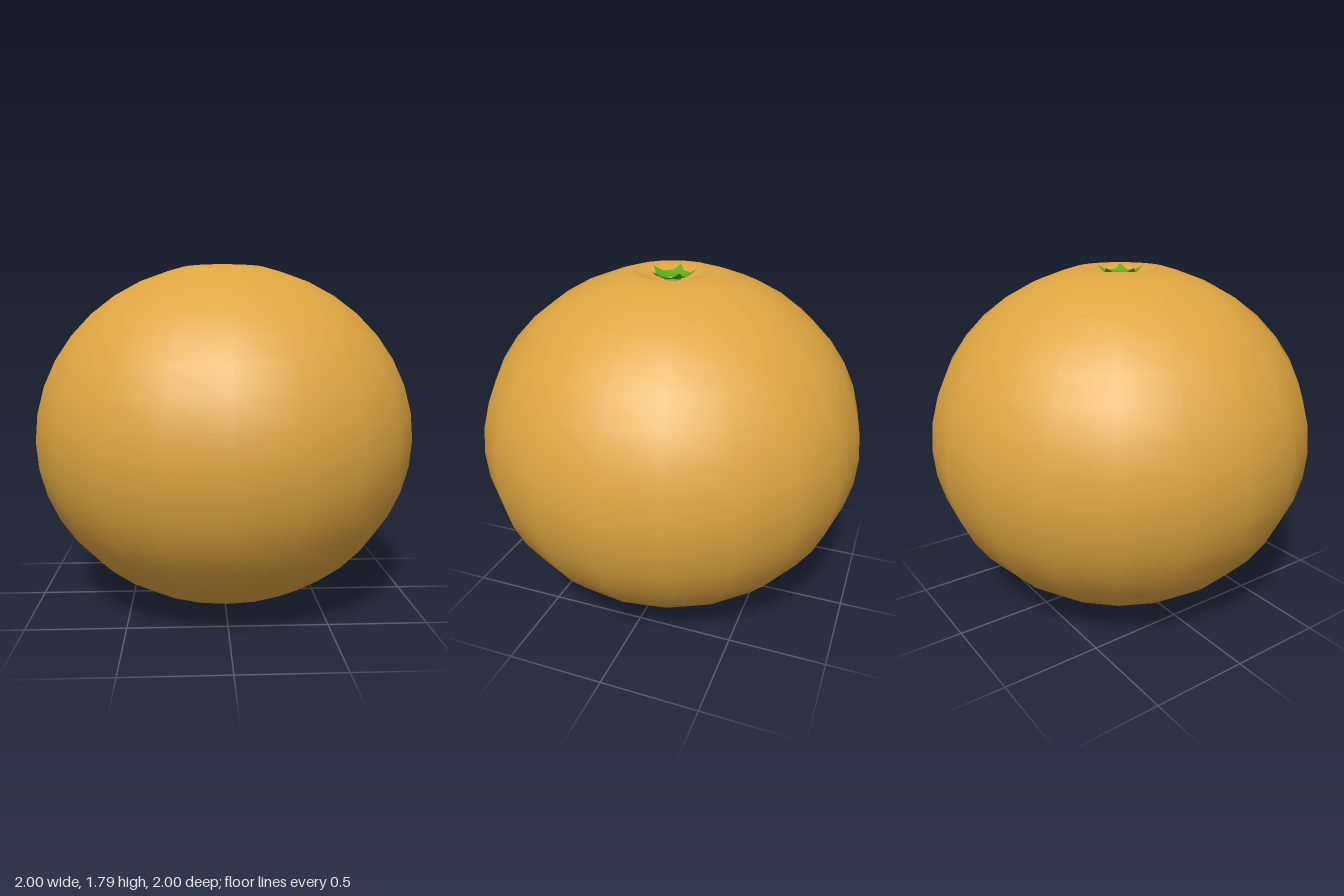
import * as THREE from 'three';
import { mergeVertices } from 'three/addons/utils/BufferGeometryUtils.js';

const SEGMENTS = 20;

const peel = new THREE.MeshStandardMaterial({ color: 0xdfa640 });
peel.name = 'orange peel';
const leafGreen = new THREE.MeshStandardMaterial({ color: 0x5cab12, side: THREE.DoubleSide });
leafGreen.name = 'leaf green';

const profile = (pairs) => pairs.map(([r, y]) => new THREE.Vector2(r, y));

// Squashed sphere, 9 degrees per ring, closing in a small dimple at the top
function createFruit() {
  const rings = [];
  for (let i = 0; i <= 18; i++) {
    const a = THREE.MathUtils.degToRad(-90 + i * 9);
    rings.push([i === 0 ? 0 : Math.cos(a), 0.9 + 0.9 * Math.sin(a)]);
  }
  rings.push([0.225, 1.781], [0.16, 1.765], [0.09, 1.735], [0, 1.715]);
  const mesh = new THREE.Mesh(new THREE.LatheGeometry(profile(rings), SEGMENTS), peel);
  mesh.name = 'fruit';
  return mesh;
}

// Shallow green cup whose rim is drawn out into five upturned points
function createCalyx() {
  const rings = profile([[0.09, 1.762], [0.07, 1.752], [0.04, 1.744], [0, 1.742]]);
  let geometry = new THREE.LatheGeometry(rings, SEGMENTS);
  const p = geometry.attributes.position;
  for (let i = 3; i < SEGMENTS; i += 4) {
    const v = i * rings.length;
    const a = (i / SEGMENTS) * Math.PI * 2;
    p.setXYZ(v, 0.123 * Math.sin(a), 1.788, 0.123 * Math.cos(a));
  }
  geometry.deleteAttribute('uv');
  geometry.deleteAttribute('normal');
  geometry = mergeVertices(geometry);
  geometry.computeVertexNormals();
  const mesh = new THREE.Mesh(geometry, leafGreen);
  mesh.name = 'calyx';
  return mesh;
}

// Small rounded stalk stub in the middle of the calyx
function createStub() {
  const rings = profile([[0.043, 1.738], [0.042, 1.752], [0.03, 1.757], [0, 1.758]]);
  const mesh = new THREE.Mesh(new THREE.LatheGeometry(rings, SEGMENTS), leafGreen);
  mesh.name = 'stalkStub';
  return mesh;
}

export function createModel() {
  const group = new THREE.Group();
  group.name = 'orange';
  group.add(createFruit(), createCalyx(), createStub());
  return group;
}
